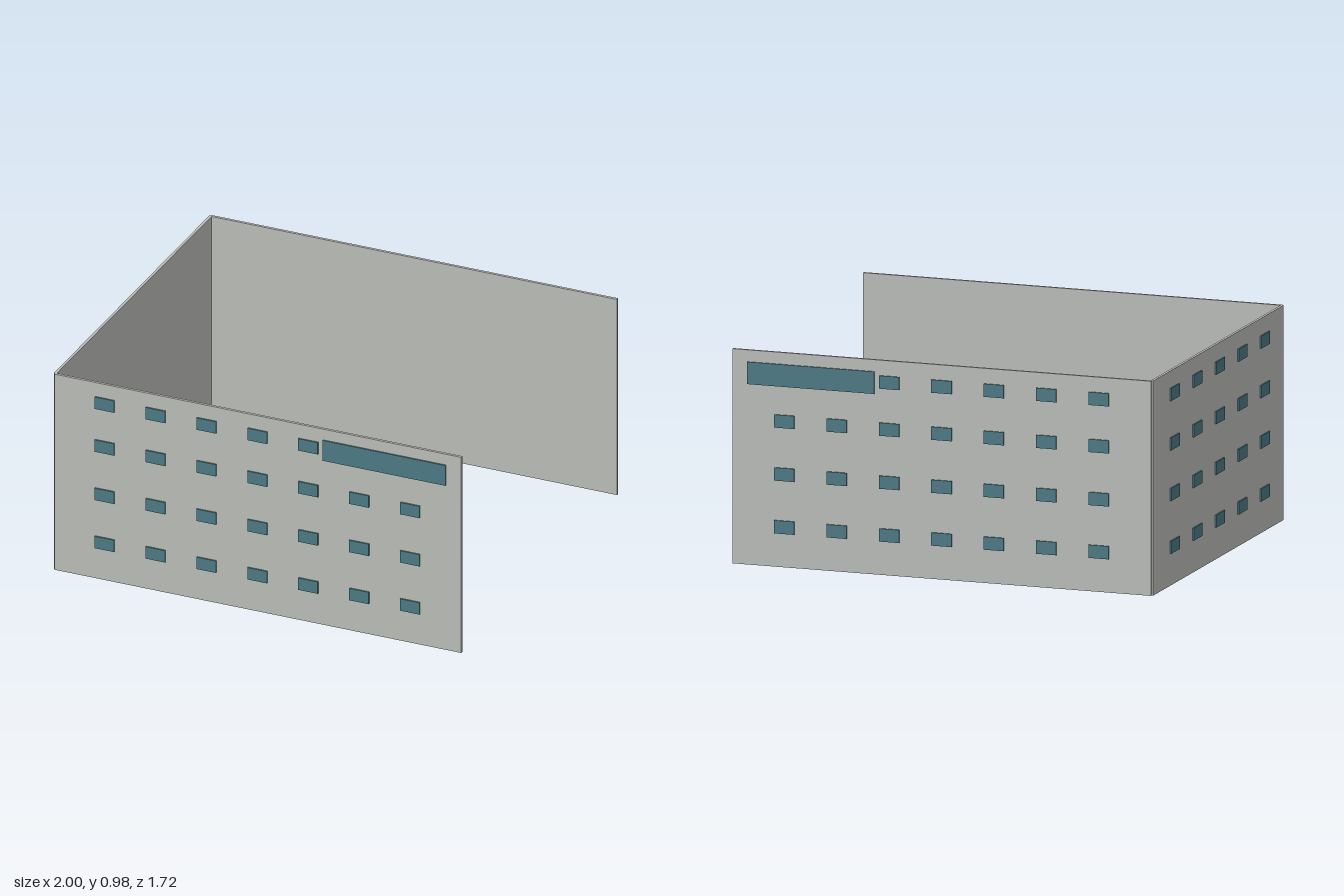
import * as THREE from 'three';

export function createModel() {
  const model = new THREE.Group();
  model.name = 'openBuildingShell';

  const concrete = new THREE.MeshStandardMaterial({ color: 0xbcbeba });
  concrete.name = 'light grey concrete';
  const glass = new THREE.MeshStandardMaterial({ color: 0x4c7a86 });
  glass.name = 'teal glass';

  const HEIGHT = 0.976;
  const THICK = 0.013;
  const PLATE = 0.007;

  const addBox = (parent, name, material, size, position) => {
    const mesh = new THREE.Mesh(new THREE.BoxGeometry(...size), material);
    mesh.name = name;
    mesh.position.set(...position);
    parent.add(mesh);
  };

  const rows = [0.182, 0.422, 0.663, 0.877];

  // Front and back walls, mirrored, each with a window grid and a wide top panel
  for (const side of [1, -1]) {
    const facade = new THREE.Group();
    facade.name = side > 0 ? 'frontFacade' : 'backFacade';
    addBox(facade, 'longWall', concrete, [1.98, HEIGHT, THICK],
      [0.005, HEIGHT / 2, side * (0.851 - THICK / 2)]);
    const z = side * (0.851 + PLATE / 2);
    rows.forEach((y, r) => {
      const columns = r === 3 ? 5 : 7;
      for (let c = 0; c < columns; c++) {
        addBox(facade, 'window', glass, [0.095, 0.059, PLATE], [-0.74 + c * 0.248, y, z]);
      }
    });
    addBox(facade, 'widePanel', glass, [0.6, 0.101, PLATE], [0.622, 0.872, z]);
    model.add(facade);
  }

  // End wall joining the two long walls
  const end = new THREE.Group();
  end.name = 'endFacade';
  addBox(end, 'endWall', concrete, [THICK, HEIGHT, 1.686], [-0.993 + THICK / 2, HEIGHT / 2, 0]);
  for (const y of [0.175, 0.415, 0.645, 0.87]) {
    for (let c = 0; c < 5; c++) {
      addBox(end, 'window', glass, [PLATE, 0.057, 0.11], [-0.993 - PLATE / 2, y, -0.57 + c * 0.291]);
    }
  }
  model.add(end);

  return model;
}
